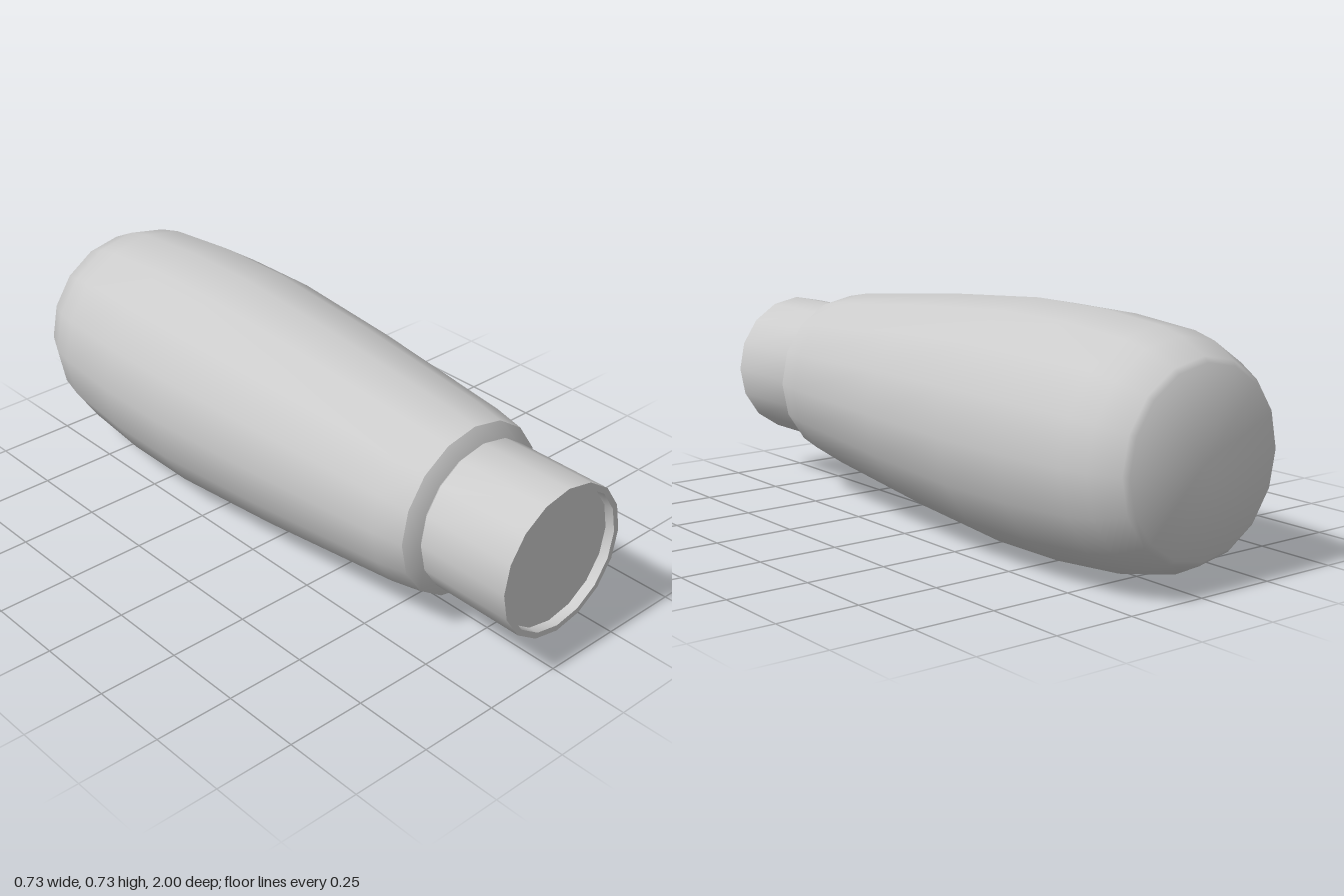
import * as THREE from 'three';
import { toCreasedNormals } from 'three/addons/utils/BufferGeometryUtils.js';

const SIDES = 16;
const AXIS_HEIGHT = 0.366;

// Turn a profile of [radius, z] points around the handle's axis
function turned(name, profile, material, crease) {
  const points = profile.map(([r, z]) => new THREE.Vector2(r, z));
  const lathe = new THREE.LatheGeometry(points, SIDES);
  lathe.rotateX(Math.PI / 2);
  const mesh = new THREE.Mesh(toCreasedNormals(lathe, crease), material);
  mesh.name = name;
  return mesh;
}

export function createModel() {
  const group = new THREE.Group();
  group.name = 'toolHandle';
  const grey = new THREE.MeshStandardMaterial({ color: 0xcccccc });

  // Swelling grip, from the butt at the back to the shoulder at the front
  group.add(turned('grip', [
    [0, -1], [0.265, -1], [0.28, -0.987], [0.323, -0.9], [0.342, -0.82],
    [0.362, -0.58], [0.364, -0.32], [0.336, 0.07], [0.287, 0.56],
    [0.269, 0.66], [0.225, 0.685], [0, 0.685],
  ], grey, 0.85));

  // Collar with a thin rim around a shallow recess
  group.add(turned('ferrule', [
    [0.215, 0.68], [0.231, 0.695], [0.231, 1], [0.213, 1], [0.213, 0.97], [0, 0.97],
  ], grey, 0.6));

  group.position.y = AXIS_HEIGHT;
  const root = new THREE.Group();
  root.add(group);
  return root;
}
